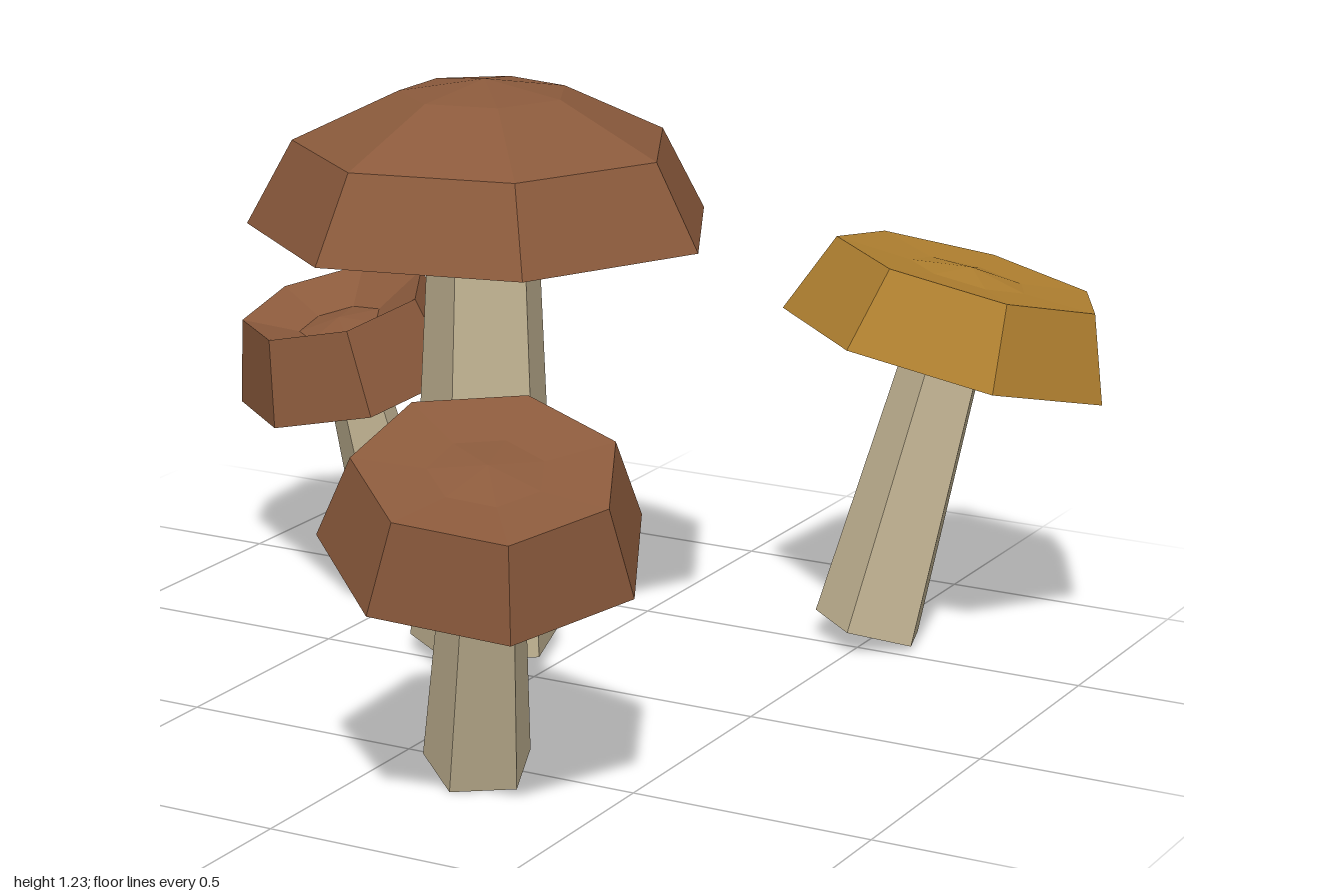
import * as THREE from 'three';

const paint = (name, color) => {
  const m = new THREE.MeshStandardMaterial({ color });
  m.name = name;
  return m;
};

// Gives every facet its own normal for the low-poly look
function faceted(geometry) {
  const g = geometry.toNonIndexed();
  g.computeVertexNormals();
  return g;
}

// Seven-sided surface turned from [radius, height] points, one corner towards +x
function turned(points) {
  return faceted(new THREE.LatheGeometry(
    points.map(([r, y]) => new THREE.Vector2(r, y)), 7, Math.PI / 2));
}

// A mushroom whose origin is the centre of the cap rim; axis is the lean of the stem
function makeMushroom({ name, at, axis, radius, heights, gill, stem, capMat, stemMat }) {
  const mushroom = new THREE.Group();
  mushroom.name = name;
  const add = (part, geometry, material) => {
    const mesh = new THREE.Mesh(geometry, material);
    mesh.name = part;
    mushroom.add(mesh);
    return mesh;
  };
  const [shoulder, crown, tip] = heights;

  // Cap: steep side band, crown ring and shallow centre
  add('cap', turned([
    [radius, 0], [radius * 0.806, shoulder], [radius * 0.358, crown], [0, tip],
  ]), capMat);

  // Shallow cone closing the cap from below
  add('capUnderside', turned([[0, -gill], [radius, 0]]), stemMat);

  // Five-sided tapering stem
  const [topR, bottomR, length] = stem;
  add('stem', faceted(new THREE.CylinderGeometry(topR, bottomR, length, 5)), stemMat)
    .position.y = -length / 2 - 0.02;

  mushroom.position.set(...at);
  mushroom.quaternion.setFromUnitVectors(
    new THREE.Vector3(0, 1, 0), new THREE.Vector3(...axis).normalize());
  return mushroom;
}

export function createModel() {
  const brown = paint('brownCap', 0x8b5a3c);
  const gold = paint('goldenCap', 0xb08030);
  const cream = paint('creamStem', 0xc4b594);

  const specs = [
    { name: 'largeMushroom', at: [-0.157, 0.92, -0.075], axis: [0, 1, 0], radius: 0.489,
      heights: [0.175, 0.28, 0.307], gill: 0.057, stem: [0.12, 0.163, 0.865], capMat: brown },
    { name: 'frontMushroom', at: [0.286, 0.513, 0.691], axis: [0.188, 1, 0.265], radius: 0.317,
      heights: [0.178, 0.165, 0.182], gill: 0.057, stem: [0.08, 0.11, 0.49], capMat: brown },
    { name: 'smallMushroom', at: [-0.744, 0.421, -0.51], axis: [-0.15, 1, 0.216], radius: 0.262,
      heights: [0.188, 0.135, 0.15], gill: 0.062, stem: [0.068, 0.095, 0.38], capMat: brown },
    { name: 'goldenMushroom', at: [0.621, 0.626, -0.656], axis: [0.203, 1, -0.158], radius: 0.356,
      heights: [0.175, 0.167, 0.184], gill: 0.057, stem: [0.09, 0.12, 0.595], capMat: gold },
  ];

  const model = new THREE.Group();
  model.name = 'mushroomCluster';
  for (const spec of specs) model.add(makeMushroom({ ...spec, stemMat: cream }));
  return model;
}
